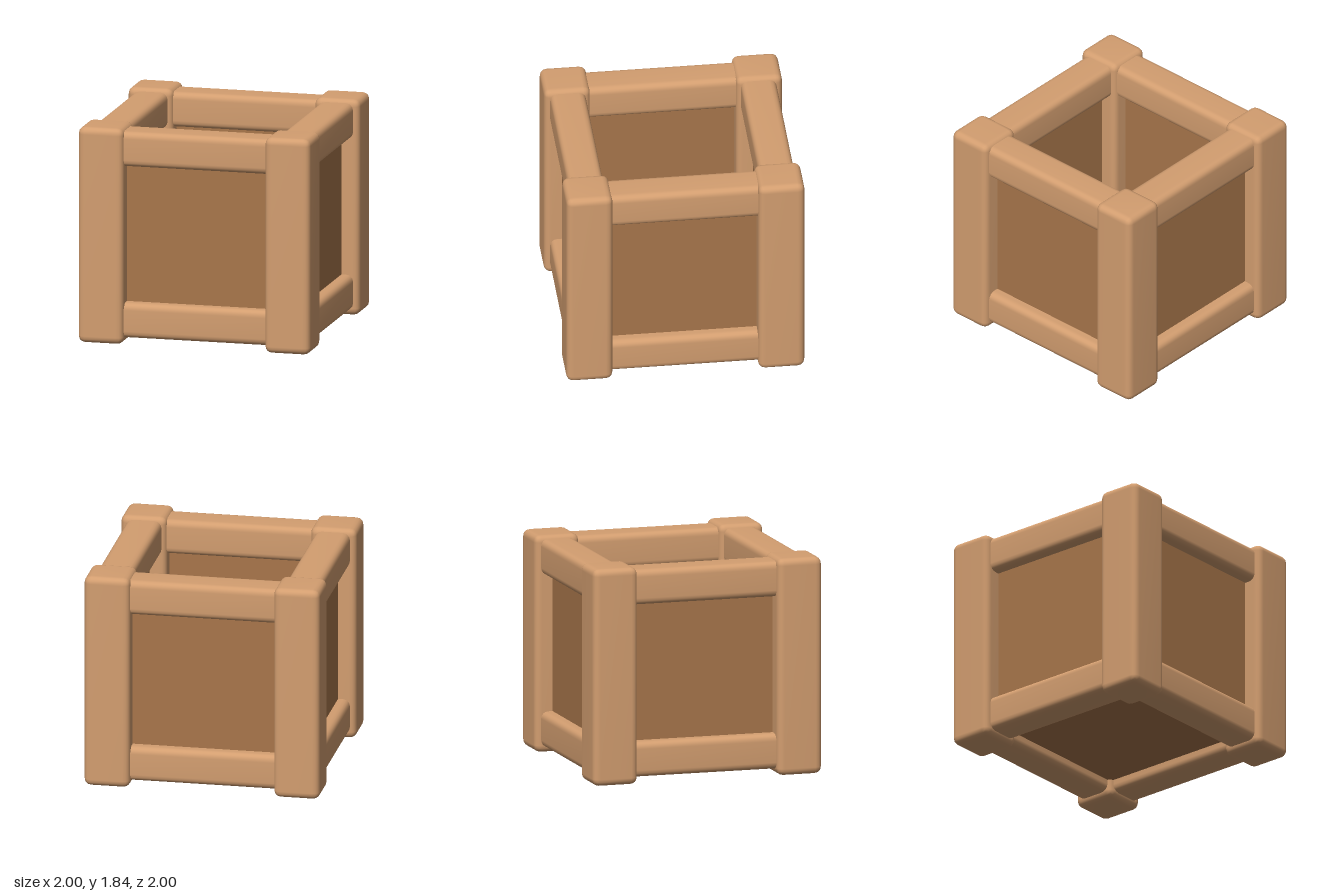
import * as THREE from 'three';
import { RoundedBoxGeometry } from 'three/addons/geometries/RoundedBoxGeometry.js';
import { mergeVertices } from 'three/addons/utils/BufferGeometryUtils.js';

const HEIGHT = 1.84;
const POST = 0.39;    // post thickness
const RAIL = 0.3;     // rail thickness
const CENTRE = 0.8;   // distance of rails and panels from the middle
const LOW = 0.2, HIGH = 1.66; // heights of the rail centres

// Softly rounded beam with normals shared across its bevels
function beam(w, h, d) {
  const geo = new RoundedBoxGeometry(w, h, d, 2, 0.06);
  geo.deleteAttribute('normal');
  geo.deleteAttribute('uv');
  const smooth = mergeVertices(geo, 1e-4);
  smooth.computeVertexNormals();
  return smooth;
}

export function createModel() {
  const model = new THREE.Group();
  model.name = 'openCrate';

  const lightWood = new THREE.MeshStandardMaterial({ color: 0xd39e70 });
  lightWood.name = 'lightWood';
  const darkWood = new THREE.MeshStandardMaterial({ color: 0xa8764b });
  darkWood.name = 'darkWood';

  const add = (parent, name, geo, mat, x, y, z) => {
    const mesh = new THREE.Mesh(geo, mat);
    mesh.name = name;
    mesh.position.set(x, y, z);
    parent.add(mesh);
  };

  const postGeo = beam(POST, HEIGHT, POST);
  const railGeo = beam(1.5, RAIL, RAIL);
  const panelGeo = new THREE.BoxGeometry(1.6, HIGH - LOW, 0.1);

  // Each side: a corner post, two rails and a recessed panel
  ['front', 'left', 'back', 'right'].forEach((side, i) => {
    const wall = new THREE.Group();
    wall.name = side + 'Side';
    wall.rotation.y = i * Math.PI / 2;
    const p = 1 - POST / 2;
    add(wall, side + 'CornerPost', postGeo, lightWood, p, HEIGHT / 2, p);
    add(wall, side + 'BottomRail', railGeo, lightWood, 0, LOW, CENTRE);
    add(wall, side + 'TopRail', railGeo, lightWood, 0, HIGH, CENTRE);
    add(wall, side + 'Panel', panelGeo, darkWood, 0, (LOW + HIGH) / 2, CENTRE);
    model.add(wall);
  });

  // Floor board, level with the bottom rails
  add(model, 'floor', new THREE.BoxGeometry(1.6, 0.1, 1.6), darkWood, 0, LOW, 0);

  return model;
}
